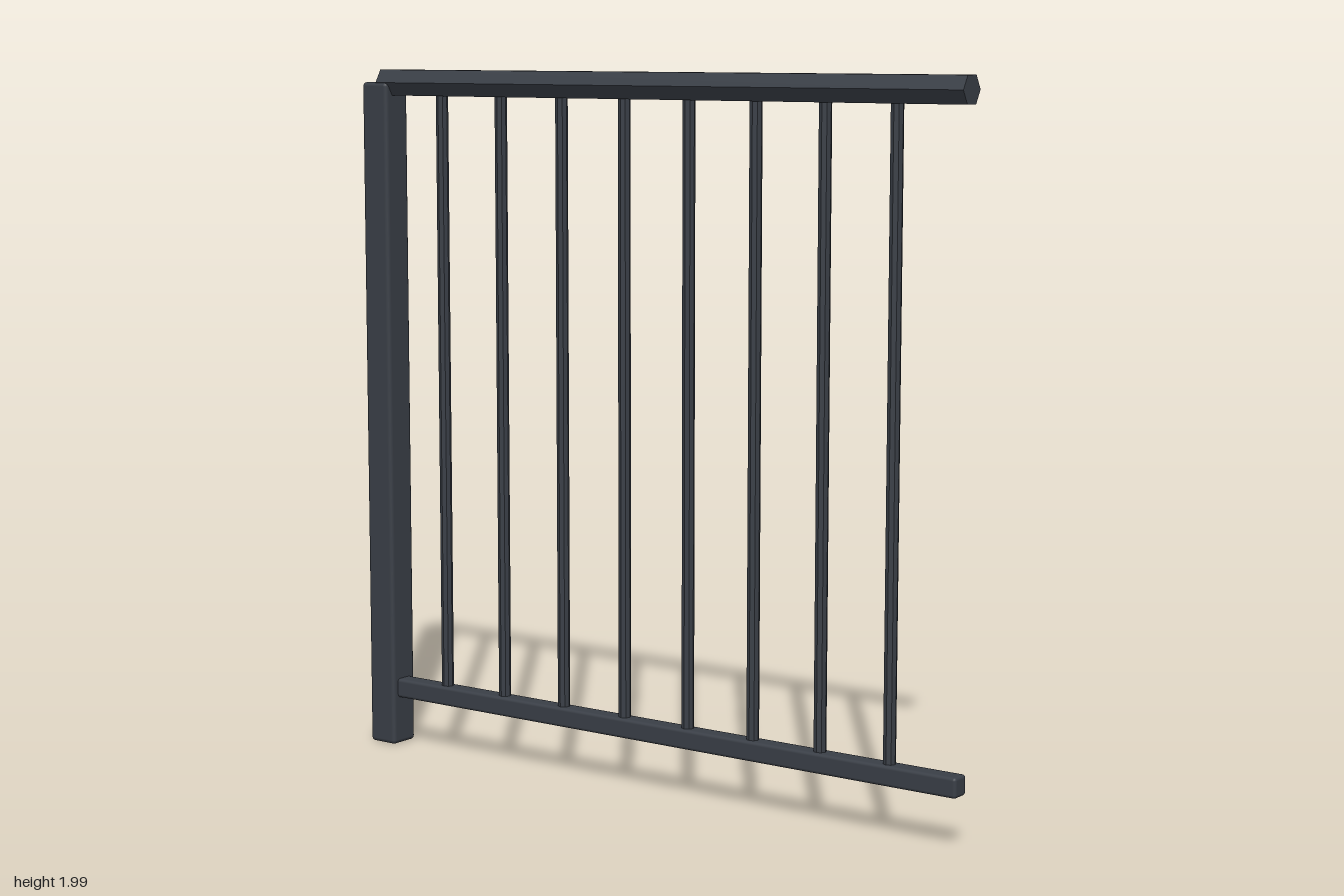
import * as THREE from 'three';
import { RoundedBoxGeometry } from 'three/addons/geometries/RoundedBoxGeometry.js';

export function createModel() {
  const group = new THREE.Group();
  const darkMetal = new THREE.MeshStandardMaterial({ color: 0x3a3f47 });
  darkMetal.name = 'darkMetal';

  const add = (name, geometry, x, y) => {
    const mesh = new THREE.Mesh(geometry, darkMetal);
    mesh.name = name;
    mesh.position.set(x, y, 0);
    group.add(mesh);
  };
  // Prism with flat-shaded sides
  const prism = (radius, length, sides) =>
    new THREE.CylinderGeometry(radius, radius, length, sides).toNonIndexed();
  const faceted = (geometry) => {
    geometry.computeVertexNormals();
    return geometry;
  };

  // Square end post with softened edges
  add('post', new RoundedBoxGeometry(0.094, 1.954, 0.094, 2, 0.012), -0.953, 0.977);

  // Hexagonal handrail, flat side up
  add('handrail', faceted(prism(0.0425, 1.95, 6).rotateZ(Math.PI / 2)), 0.025, 1.953);

  // Square lower rail, let into the post
  add('lowerRail', new RoundedBoxGeometry(1.95, 0.056, 0.056, 2, 0.009), 0.025, 0.169);

  // Evenly spaced upright bars
  const bar = faceted(prism(0.0175, 1.77, 8));
  for (let i = 0; i < 8; i++) add('baluster' + (i + 1), bar, -0.735 + i * 0.217, 1.055);

  return group;
}
